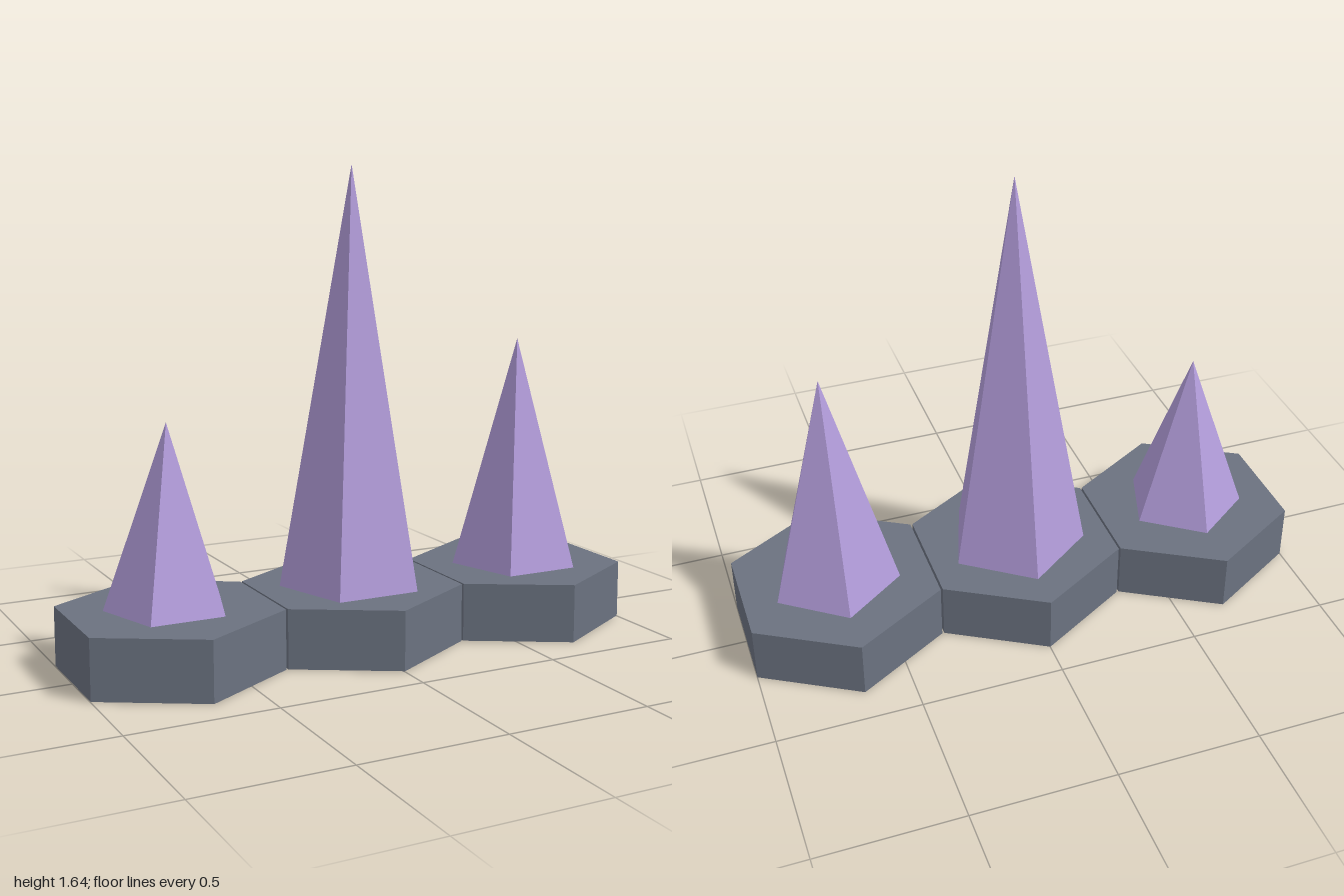
import * as THREE from 'three';

const BASE_RADIUS = 0.382;
const BASE_HEIGHT = 0.206;
const SPIKE_RADIUS = 0.287;
const SPACING = 0.669;

export function createModel() {
  const stone = new THREE.MeshStandardMaterial({ color: 0x6b7280 });
  stone.name = 'slate';
  const crystal = new THREE.MeshStandardMaterial({ color: 0xb39ddb });
  crystal.name = 'lilac';
  stone.flatShading = crystal.flatShading = true;

  const model = new THREE.Group();
  model.name = 'crystalSpikes';

  // Spike heights from the model's right (-x) to its left (+x)
  const spikes = [['right', 0.82], ['middle', 1.64], ['left', 1.025]];
  spikes.forEach(([side, height], i) => {
    const cell = new THREE.Group();
    cell.name = `${side}Cell`;
    cell.position.x = (i - 1) * SPACING;

    // Hexagonal slab, corners towards front and back; its underside sits
    // a hair above the spike's so the two do not flicker
    const slabHeight = BASE_HEIGHT - 0.002;
    const slab = new THREE.Mesh(
      new THREE.CylinderGeometry(BASE_RADIUS, BASE_RADIUS, slabHeight, 6), stone);
    slab.name = 'hexBase';
    slab.position.y = 0.002 + slabHeight / 2;

    // Five-sided spike passing through the slab, flat face to the front
    const spike = new THREE.Mesh(new THREE.ConeGeometry(SPIKE_RADIUS, height, 5), crystal);
    spike.name = 'crystalSpike';
    spike.rotation.y = Math.PI;
    spike.position.y = height / 2;

    cell.add(slab, spike);
    model.add(cell);
  });

  return model;
}
